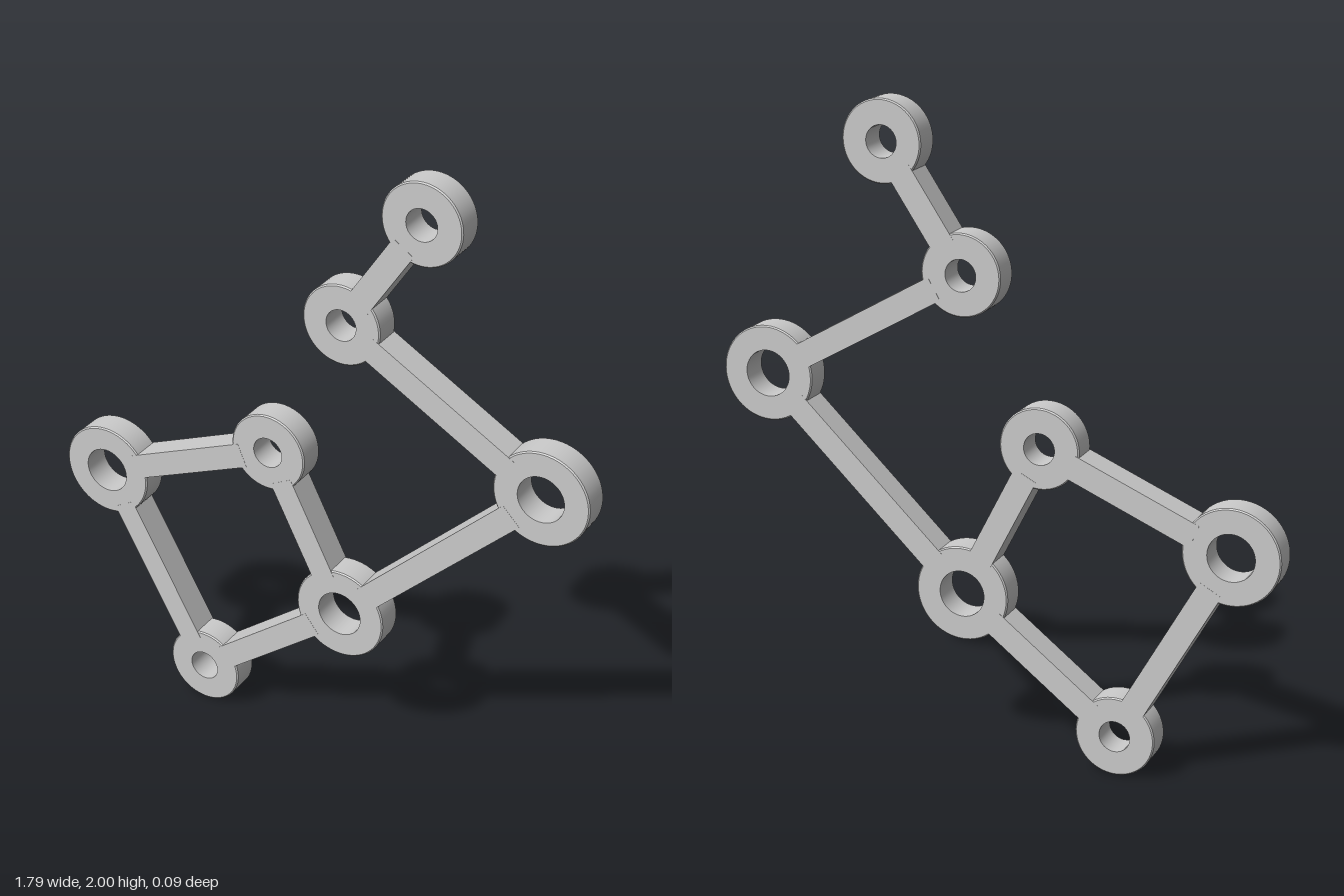
import * as THREE from 'three';

const DEPTH = 0.09, BAR_WIDTH = 0.078, BEVEL = 0.004;
const BIG = { outer: 0.15, hole: 0.073 };
const SMALL = { outer: 0.126, hole: 0.049 };

// Ring nodes: centre x, y and size
const NODES = [
  [0.35, 1.874, SMALL],
  [0.1, 1.5, SMALL],
  [0.747, 1.127, BIG],
  [0.1, 0.507, BIG],
  [-0.15, 1.002, SMALL],
  [-0.747, 0.754, BIG],
  [-0.4, 0.126, SMALL],
];

// Pairs of nodes joined by bars
const LINKS = [[0, 1], [1, 2], [2, 3], [3, 4], [4, 5], [5, 6], [6, 3]];

function ringGeometry({ outer, hole }) {
  // Closed square-section profile with small chamfers on the outer rim
  const h = DEPTH / 2, o = outer, b = BEVEL;
  const corners = [[hole, -h], [o - b, -h], [o, -h + b], [o, h - b], [o - b, h], [hole, h], [hole, -h]];
  // Each wall is doubled at its ends so the edges stay crisp
  const points = corners.map(([x, y]) => new THREE.Vector2(x, y));
  const parts = [];
  for (let i = 0; i < points.length - 1; i++) {
    parts.push(new THREE.LatheGeometry([points[i], points[i + 1]], 64).rotateX(Math.PI / 2));
  }
  return parts;
}

export function createModel() {
  const model = new THREE.Group();
  model.name = 'linkedRings';
  const material = new THREE.MeshStandardMaterial({ color: 0xcccccc });

  // Rings with open bores
  NODES.forEach(([x, y, size], i) => {
    const ring = new THREE.Group();
    ring.name = `ring${i + 1}`;
    for (const geometry of ringGeometry(size)) {
      const wall = new THREE.Mesh(geometry, material);
      wall.name = 'ringWall';
      ring.add(wall);
    }
    ring.position.set(x, y, 0);
    model.add(ring);
  });

  // Straight bars, their ends sunk a little into the rings
  LINKS.forEach(([a, b], i) => {
    const [ax, ay, aSize] = NODES[a], [bx, by, bSize] = NODES[b];
    const start = new THREE.Vector2(ax, ay), end = new THREE.Vector2(bx, by);
    const dir = end.clone().sub(start).normalize();
    start.addScaledVector(dir, aSize.outer - 0.028);
    end.addScaledVector(dir, 0.028 - bSize.outer);
    const bar = new THREE.Mesh(
      new THREE.BoxGeometry(start.distanceTo(end), BAR_WIDTH, DEPTH + 0.001), material);
    bar.name = `bar${i + 1}`;
    bar.position.set((start.x + end.x) / 2, (start.y + end.y) / 2, 0);
    bar.rotation.z = dir.angle();
    model.add(bar);
  });

  return model;
}
